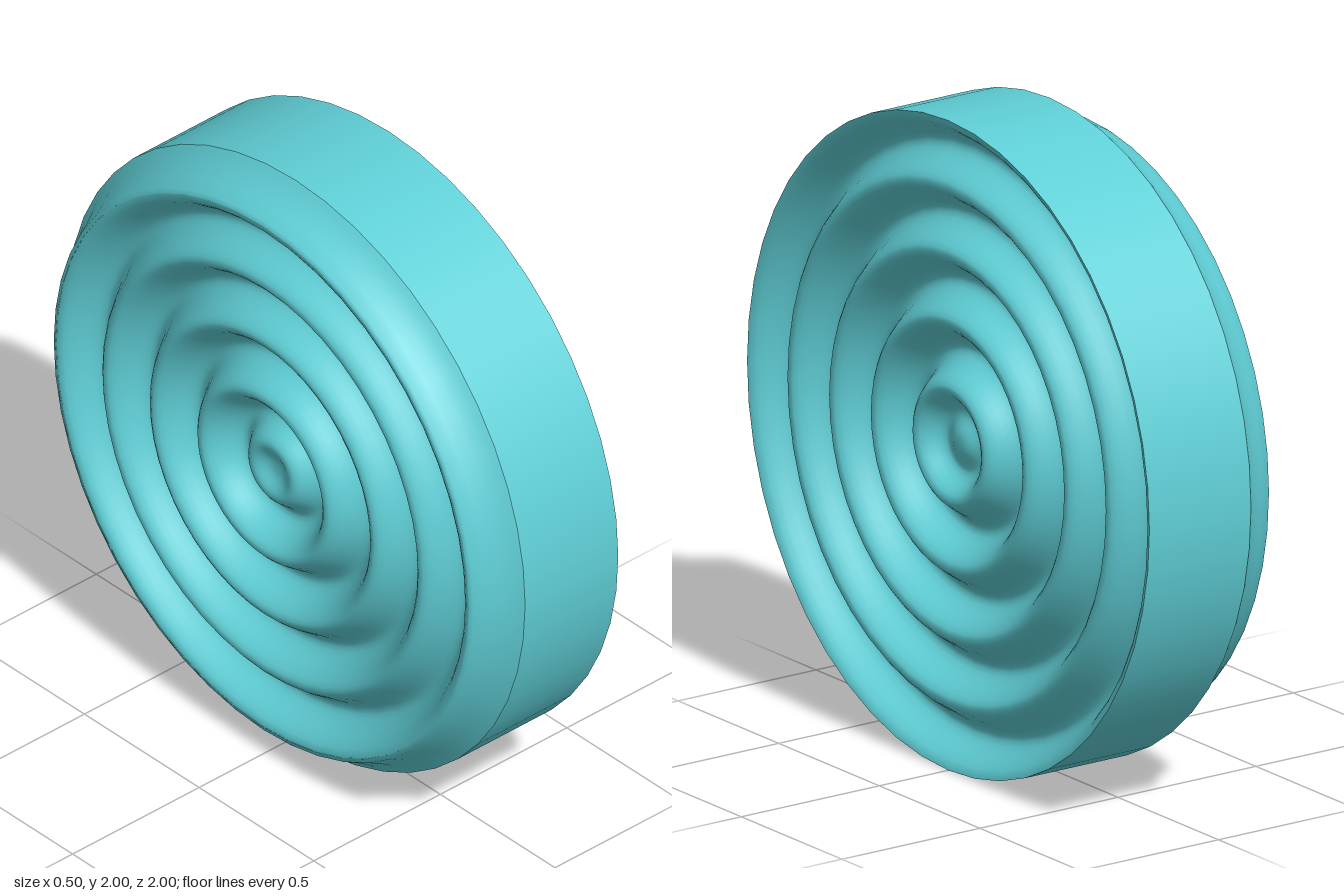
import * as THREE from 'three';

const SEGMENTS = 48;
const PITCH = 0.207;   // distance between ripple crests
const DEPTH = 0.05;    // half the ripple height
const OUTER = 0.998;   // outermost crest on the left face

export function createModel() {
  const group = new THREE.Group();
  group.name = 'rippledDisc';
  const material = new THREE.MeshStandardMaterial({ color: 0x5fcfd6, side: THREE.DoubleSide });

  // Lathe a (radius, x) profile around the x axis, at disc height
  const addLathe = (name, points) => {
    const geometry = new THREE.LatheGeometry(points, SEGMENTS);
    geometry.rotateZ(-Math.PI / 2);
    const mesh = new THREE.Mesh(geometry, material);
    mesh.name = name;
    mesh.position.y = 1;
    group.add(mesh);
  };

  // Concentric wave, softened towards the middle
  const wave = (r) => {
    const w = Math.cos((2 * Math.PI * (OUTER - r)) / PITCH);
    const soften = THREE.MathUtils.smoothstep(r, 0, 0.17);
    return DEPTH * THREE.MathUtils.lerp(0.2, w, soften);
  };
  const face = (from, to, base) => {
    const steps = 72, points = [];
    for (let i = 0; i <= steps; i++) {
      const r = from + ((to - from) * i) / steps;
      points.push(new THREE.Vector2(r, base + wave(r)));
    }
    return points;
  };

  // Right face: the same ripples, so its crests sit behind the other face's troughs
  addLathe('rightRippledFace', face(0, 0.9, -0.2));

  // Bevel between the right face and the rim
  addLathe('bevel', [
    [0.9, -0.25], [0.915, -0.245], [0.935, -0.205], [0.955, -0.17],
    [0.975, -0.143], [0.99, -0.128], [1, -0.118],
  ].map(([r, x]) => new THREE.Vector2(r, x)));

  // Cylindrical rim
  addLathe('rim', [[1, -0.118], [1, 0.06], [1, 0.25]].map(([r, x]) => new THREE.Vector2(r, x)));

  // Left face
  addLathe('leftRippledFace', face(0, 1, 0.2).reverse());

  return group;
}
